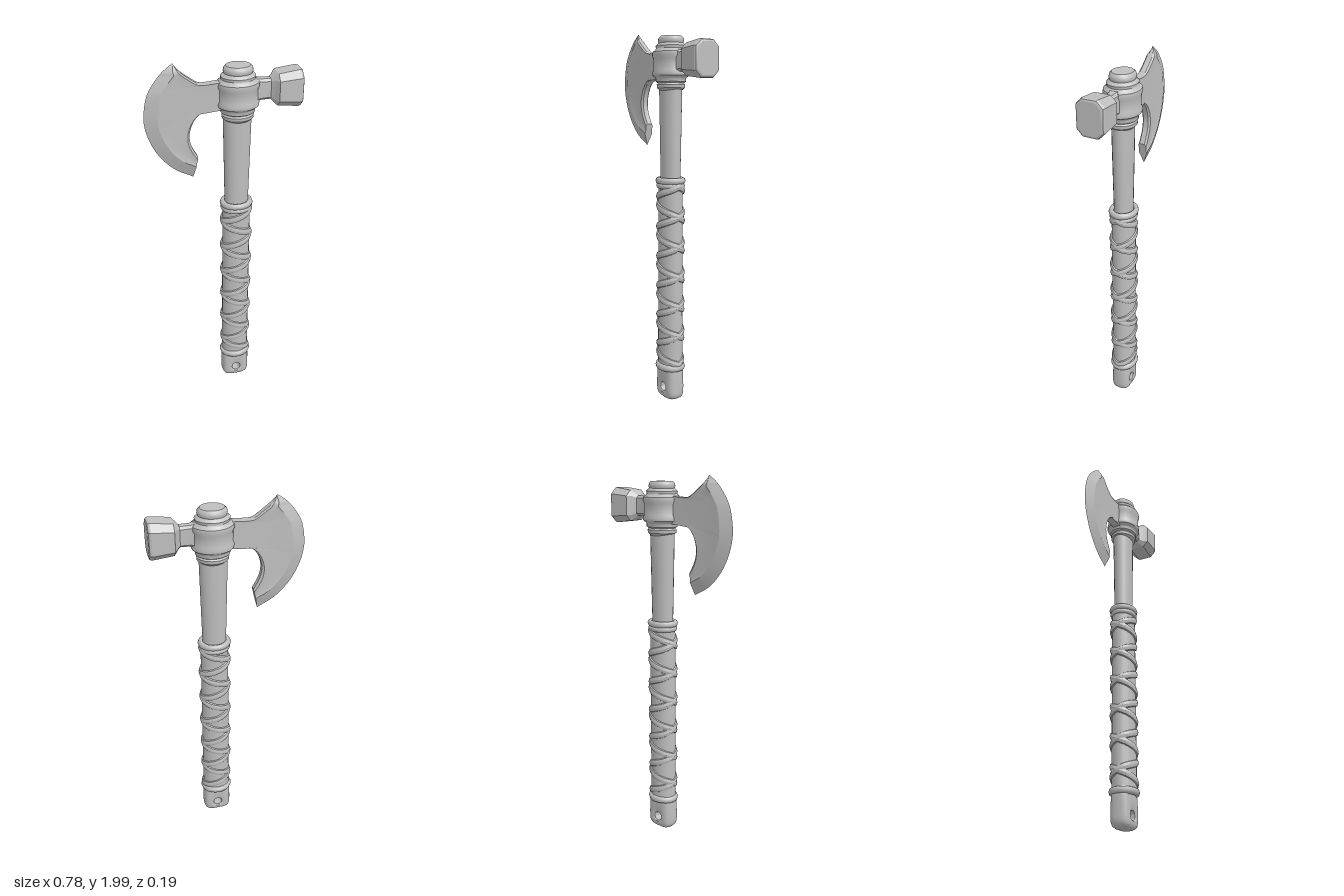
import * as THREE from 'three';
import { toCreasedNormals } from 'three/addons/utils/BufferGeometryUtils.js';

const CX = 0.073; // handle axis
const TAU = Math.PI * 2;

// Skins rows of points; each row may be closed, ends may be capped, or rows may wrap round.
function loft(rows, { closed = true, caps = false, wrap = false, crease = 0.6 } = {}) {
  const n = rows[0].length, pts = rows.flat(), idx = [];
  const rowCount = wrap ? rows.length : rows.length - 1;
  const colCount = closed ? n : n - 1;
  for (let i = 0; i < rowCount; i++) {
    const a = i * n, b = ((i + 1) % rows.length) * n;
    for (let j = 0; j < colCount; j++) {
      const k = (j + 1) % n;
      idx.push(a + j, a + k, b + j, a + k, b + k, b + j);
    }
  }
  if (caps) {
    const last = (rows.length - 1) * n;
    for (let j = 1; j < n - 1; j++) {
      idx.push(0, j + 1, j, last, last + j, last + j + 1);
    }
  }
  // turn the faces outward if the enclosed volume is negative
  const v = pts.map((p) => new THREE.Vector3(...p));
  let volume = 0;
  for (let i = 0; i < idx.length; i += 3) {
    volume += v[idx[i]].dot(v[idx[i + 1]].clone().cross(v[idx[i + 2]]));
  }
  if (volume < 0) idx.reverse();
  const g = new THREE.BufferGeometry();
  g.setAttribute('position', new THREE.Float32BufferAttribute(pts.flat(), 3));
  g.setIndex(idx);
  return toCreasedNormals(g, crease);
}

export function createModel() {
  const model = new THREE.Group();
  model.name = 'axe';
  const grey = new THREE.MeshStandardMaterial({ color: 0xbfbfbf });
  grey.name = 'grey';

  const add = (name, geometry, x = 0, y = 0) => {
    const m = new THREE.Mesh(geometry, grey);
    m.name = name;
    m.position.set(x, y, 0);
    model.add(m);
    return m;
  };
  const ring = (name, y, rx, rz, tube) => {
    const g = new THREE.TorusGeometry(rx - tube, tube, 8, 28).rotateX(Math.PI / 2);
    g.scale(1, 1.1, rz / rx);
    return add(name, g, CX, y);
  };

  // Bare shaft, oval in section
  add('shaft', new THREE.CylinderGeometry(0.073, 0.062, 0.56, 20, 1).scale(1, 1, 0.75), CX, 1.46);

  // Grip core
  add('gripCore', new THREE.CylinderGeometry(0.074, 0.076, 1.02, 24, 1).scale(1, 1, 0.82), CX, 0.71);

  // Two opposite-handed straps crossing on the sides of the grip
  const strapSection = [[-0.023, -0.006], [-0.017, 0.006], [0, 0.011], [0.017, 0.006], [0.023, -0.006]];
  for (const hand of [1, -1]) {
    const turns = 6, steps = turns * 28, rows = [];
    for (let i = 0; i <= steps; i++) {
      const t = i / steps, a = hand * t * turns * TAU;
      const y = 0.215 + 0.98 * t;
      rows.push(strapSection.map(([dy, lift]) => [
        Math.cos(a) * (0.076 + lift), y + dy, Math.sin(a) * (0.062 + lift),
      ]));
    }
    add(hand > 0 ? 'rightHandStrap' : 'leftHandStrap', loft(rows, { closed: false }), CX);
  }

  // Bands that finish the grip
  ring('lowerGripBand', 0.195, 0.09, 0.077, 0.018);
  ring('upperGripBand', 1.222, 0.088, 0.076, 0.016);
  ring('upperGripBandInner', 1.195, 0.084, 0.072, 0.014);

  // Pommel with a through hole: loops run from the hole to the rim, front then back
  const holeY = 0.078, holeR = 0.025, pommelRows = [];
  for (let i = 0; i < 40; i++) {
    const c = Math.cos((i / 40) * TAU), s = Math.sin((i / 40) * TAU);
    const ry = s > 0 ? 0.2 : 0.07, p = 4;
    const rim = Math.pow(Math.pow(Math.abs(c) / 0.079, p) + Math.pow(Math.abs(s) / ry, p), -1 / p);
    const row = [];
    const at = (f, side) => {
      const r = holeR + (rim - holeR) * f;
      const z = 0.051 * Math.pow(1 - Math.pow(f, 4), 0.4) - (f === 0 ? 0.005 : 0);
      row.push([c * r, s * r, side * z]);
    };
    const steps = [0, 0.12, 0.4, 0.65, 0.8, 0.9, 0.97];
    steps.forEach((f) => at(f, 1));
    at(1, 1);
    steps.slice().reverse().forEach((f) => at(f, -1));
    pommelRows.push(row);
  }
  add('pommel', loft(pommelRows, { wrap: true, crease: 0.7 }), CX, holeY);

  // Collar of the head, with lashings above and below and the shaft end on top
  const profile = [
    [0.06, 1.69], [0.079, 1.705], [0.081, 1.722], [0.074, 1.73], [0.086, 1.737], [0.086, 1.752],
    [0.09, 1.758], [0.104, 1.768], [0.107, 1.782], [0.1, 1.797], [0.1, 1.855], [0.107, 1.87],
    [0.104, 1.888], [0.09, 1.898], [0.085, 1.905], [0.087, 1.918], [0.076, 1.928], [0.07, 1.932],
    [0.074, 1.942], [0.071, 1.958], [0.06, 1.968], [0, 1.968],
  ].map(([r, y]) => new THREE.Vector2(r, y));
  const collar = new THREE.LatheGeometry(profile, 28).scale(1, 1, 0.87);
  add('collar', toCreasedNormals(collar, 0.7), 0.075);

  // Bearded blade: sections run from the cutting edge to the inner rim
  const curve = (list) => new THREE.CatmullRomCurve3(list.map(([x, y]) => new THREE.Vector3(x, y, 0)));
  const edge = curve([
    [-0.24, 2.0], [-0.285, 1.967], [-0.32, 1.93], [-0.352, 1.885], [-0.373, 1.84], [-0.39, 1.74],
    [-0.385, 1.68], [-0.368, 1.62], [-0.343, 1.565], [-0.31, 1.515], [-0.245, 1.45], [-0.155, 1.4],
  ]);
  const inner = curve([
    [-0.235, 1.992], [-0.215, 1.965], [-0.17, 1.928], [-0.11, 1.891], [0.03, 1.885], [0.03, 1.765],
    [-0.1, 1.752], [-0.145, 1.712], [-0.17, 1.645], [-0.166, 1.59], [-0.147, 1.545], [-0.13, 1.515],
  ]);
  const bladeRows = [];
  for (let i = 0; i <= 55; i++) {
    const o = edge.getPoint(i / 55), n = inner.getPoint(i / 55);
    const d = o.distanceTo(n), thick = Math.min(1, d / 0.09);
    const bevel = Math.min(0.065 / d, 0.6);
    const chamfer = 1 - Math.min(0.012 / d, 0.1);
    const half = [
      [bevel, 0.024], [bevel + (chamfer - bevel) * 0.25, 0.02],
      [bevel + (chamfer - bevel) * 0.7, 0.02], [chamfer, 0.022], [1, 0.014],
    ];
    const point = ([f, z], side) => {
      const q = o.clone().lerp(n, f);
      return [q.x, q.y, side * z * thick];
    };
    bladeRows.push([
      [o.x, o.y, 0],
      ...half.map((h) => point(h, 1)),
      ...half.slice().reverse().map((h) => point(h, -1)),
    ]);
  }
  add('blade', loft(bladeRows, { caps: true, crease: 0.35 }));

  // Hammer poll: chamfered rectangles stacked along x as [x, half height, half depth, chamfer]
  const hammer = [
    [0.15, 0.06, 0.036, 0.012], [0.185, 0.053, 0.027, 0.012], [0.235, 0.052, 0.027, 0.012],
    [0.25, 0.066, 0.042, 0.018], [0.266, 0.08, 0.072, 0.03], [0.375, 0.093, 0.074, 0.034],
    [0.386, 0.089, 0.069, 0.032], [0.39, 0.08, 0.06, 0.028],
  ].map(([x, h, d, c]) => [
    [h, d - c], [h - c, d], [c - h, d], [-h, d - c], [-h, c - d], [c - h, -d], [h - c, -d], [h, c - d],
  ].map(([y, z]) => [x, y, z]));
  add('hammerPoll', loft(hammer, { caps: true, crease: 0.35 }), 0, 1.84);

  return model;
}
